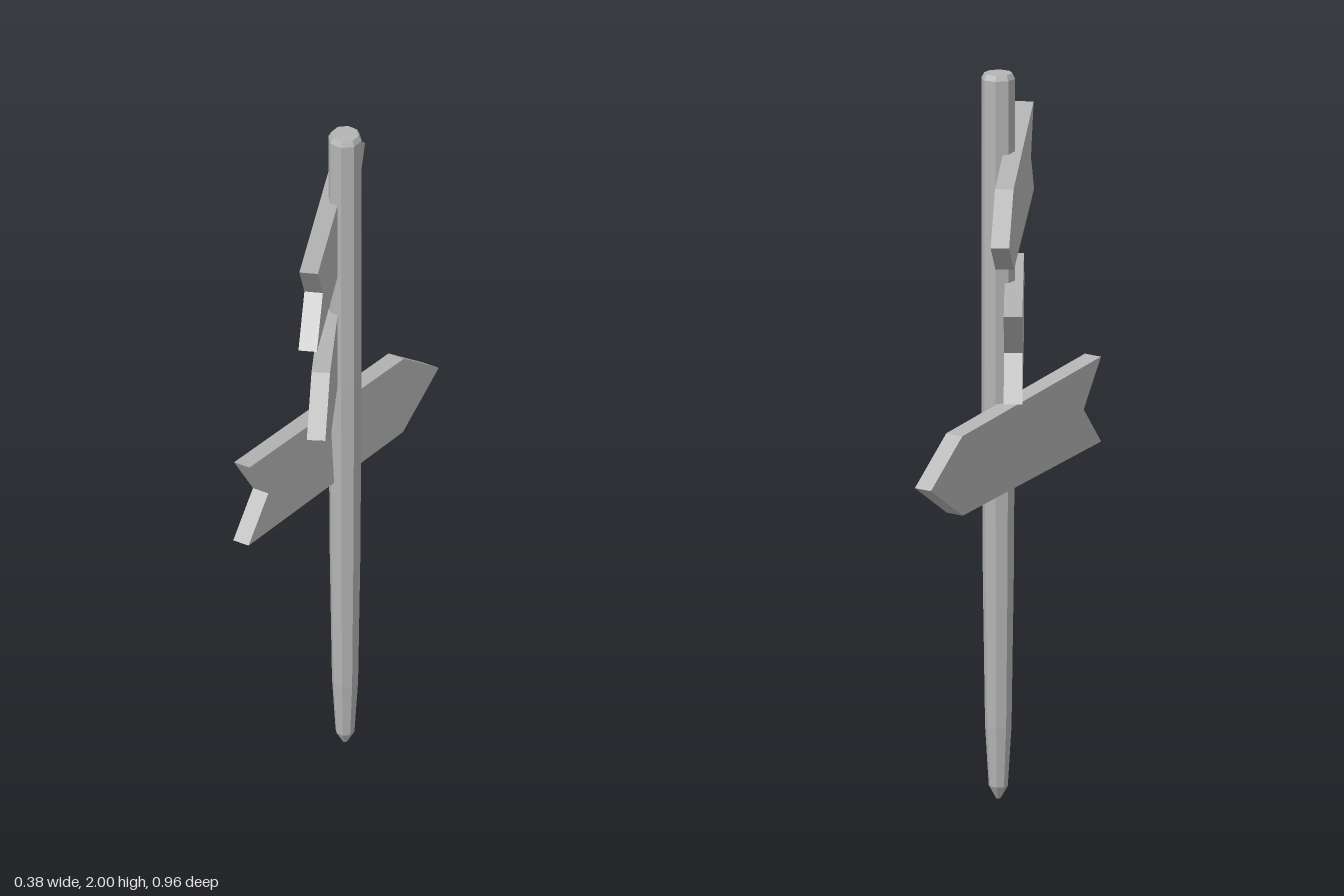
import * as THREE from 'three';

const wood = new THREE.MeshStandardMaterial({ color: 0xb4b4b4, flatShading: true });
wood.name = 'greyWood';

// Arrow board: outline as [z, y] pairs, running along x = offset + slope * z
function board(name, outline, offset, slope, lean = 0) {
  const thickness = 0.05;
  const yaw = Math.atan(slope);
  const ys = outline.map((p) => p[1]);
  const midY = (Math.min(...ys) + Math.max(...ys)) / 2;
  const shape = new THREE.Shape(
    outline.map(([z, y]) => new THREE.Vector2(z / Math.cos(yaw), y - midY))
  );
  const geo = new THREE.ExtrudeGeometry(shape, { depth: thickness, bevelEnabled: false });
  geo.translate(0, 0, -thickness / 2);
  geo.rotateY(-Math.PI / 2);
  geo.rotateZ(lean);
  geo.rotateY(yaw);
  const mesh = new THREE.Mesh(geo, wood);
  mesh.name = name;
  mesh.position.set(offset, midY, 0);
  return mesh;
}

export function createModel() {
  const group = new THREE.Group();
  group.name = 'signpost';

  // Eight-sided post, sharpened at the foot and chamfered at the top
  const profile = [
    [0, 0.005], [0.006, 0.005], [0.026, 0.035], [0.036, 0.2], [0.042, 0.6],
    [0.046, 1.2], [0.046, 1.985], [0.038, 2.0], [0, 2.0],
  ].map(([r, y]) => new THREE.Vector2(r, y === 0.005 ? 0 : y));
  const post = new THREE.Mesh(new THREE.LatheGeometry(profile, 8), wood);
  post.name = 'post';
  post.position.x = 0.03;
  group.add(post);

  // Three notched arrow boards
  group.add(
    board('topBoard', [
      [0.41, 1.825], [0.315, 1.695], [0.427, 1.58],
      [-0.30, 1.53], [-0.475, 1.63], [-0.315, 1.755],
    ], -0.01, 0.084),
    board('middleBoard', [
      [0.475, 1.325], [0.31, 1.43], [-0.41, 1.427],
      [-0.315, 1.305], [-0.41, 1.185], [0.31, 1.205],
    ], -0.0125, 0.153),
    board('bottomBoard', [
      [0.38, 1.14], [0.305, 1.01], [0.40, 0.90],
      [-0.28, 0.845], [-0.446, 0.95], [-0.30, 1.07],
    ], -0.012, -0.39, 0.05)
  );
  return group;
}
